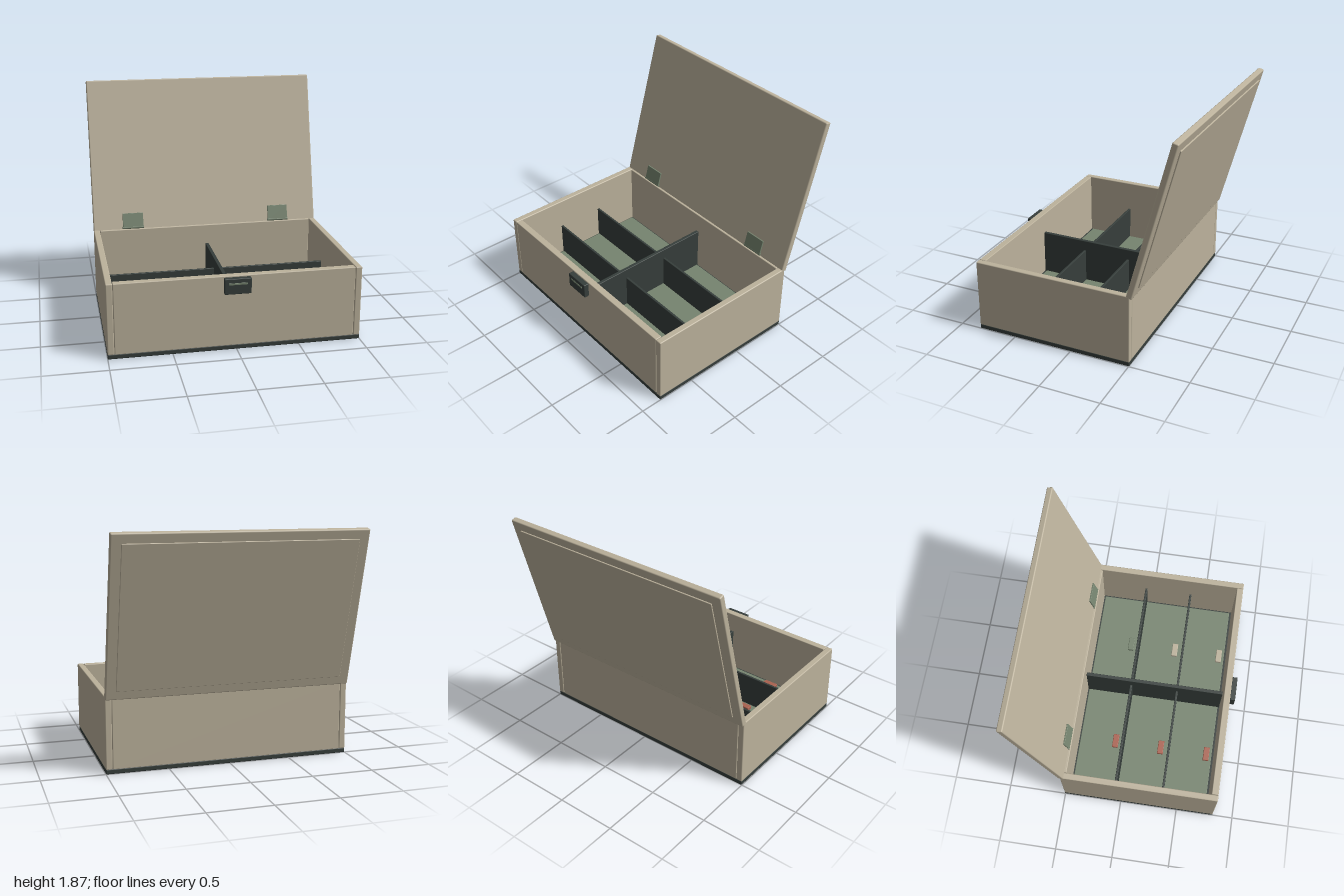
import * as THREE from 'three';
import { RoundedBoxGeometry } from 'three/addons/geometries/RoundedBoxGeometry.js';

const paint = (name, color) => {
  const m = new THREE.MeshStandardMaterial({ color });
  m.name = name;
  return m;
};

export function createModel() {
  const beige = paint('beige', 0xbcb29c);
  const green = paint('sage green', 0x76846f);
  const dark = paint('dark slate', 0x363e3b);
  const red = paint('brick red', 0xa9614f);

  const model = new THREE.Group();
  model.name = 'compartmentBox';

  // Softened block given by its size and centre
  const block = (parent, name, mat, [w, h, d], [x, y, z], r = 0.004) => {
    const mesh = new THREE.Mesh(new RoundedBoxGeometry(w, h, d, 2, r), mat);
    mesh.position.set(x, y, z);
    mesh.name = name;
    parent.add(mesh);
    return mesh;
  };

  // Base and walls
  const back = -0.505, front = 0.825, midZ = (back + front) / 2, depth = front - back;
  block(model, 'base', dark, [2, 0.04, depth], [0, 0.02, midZ], 0.008);
  for (const s of [-1, 1]) {
    block(model, s > 0 ? 'leftWall' : 'rightWall', beige, [0.052, 0.575, depth], [s * 0.974, 0.3225, midZ], 0.008);
  }
  block(model, 'frontWall', beige, [1.892, 0.575, 0.057], [0, 0.3225, front - 0.0295], 0.006);
  block(model, 'backWall', beige, [1.892, 0.575, 0.048], [0, 0.3225, back + 0.025], 0.006);

  // Lined floor with a dark rim
  block(model, 'floor', dark, [1.89, 0.03, 1.23], [0, 0.04, 0.155]);
  block(model, 'floorLining', green, [1.865, 0.012, 1.195], [0, 0.058, 0.152]);

  // Dividers
  block(model, 'longDivider', dark, [0.03, 0.39, 1.215], [0, 0.245, 0.155]);
  for (const z of [-0.052, 0.36]) {
    block(model, 'crossDivider', dark, [1.885, 0.3, 0.02], [0, 0.2, z]);
  }

  // One small marker in each compartment
  [-0.125, 0.286, 0.7].forEach((z, i) => {
    block(model, 'rightMarker', red, [0.12, 0.03, 0.052], [-0.475, 0.078, z], 0.005);
    block(model, 'leftMarker', i === 0 ? green : beige, [0.12, 0.03, 0.052], [0.475, 0.078, z], 0.005);
  });

  // Open lid: local origin at the lower edge of its inner face
  const lid = new THREE.Group();
  lid.name = 'lid';
  lid.position.set(0, 0.598, -0.472);
  lid.rotation.x = -THREE.MathUtils.degToRad(15);
  model.add(lid);
  block(lid, 'lidBoard', beige, [2, 1.32, 0.05], [0, 0.66, -0.025], 0.01);
  block(lid, 'lidRaisedPanel', beige, [1.84, 1.17, 0.02], [0, 0.66, -0.05], 0.004);

  // Hinges: a leaf on the lid and a barrel along the wall
  for (const s of [-1, 1]) {
    block(lid, 'hingeLeaf', green, [0.18, 0.128, 0.014], [s * 0.654, 0.085, 0.006], 0.003);
    const barrel = new THREE.Mesh(new THREE.CylinderGeometry(0.013, 0.013, 0.188, 16), green);
    barrel.rotation.z = Math.PI / 2;
    barrel.position.set(s * 0.654, 0.621, -0.477);
    barrel.name = 'hingeBarrel';
    model.add(barrel);
  }

  // Front clasp with a pale slot
  block(model, 'clasp', dark, [0.21, 0.125, 0.045], [0, 0.537, 0.845], 0.005);
  block(model, 'claspSlot', green, [0.145, 0.016, 0.006], [0, 0.558, 0.867], 0.002);

  return model;
}
